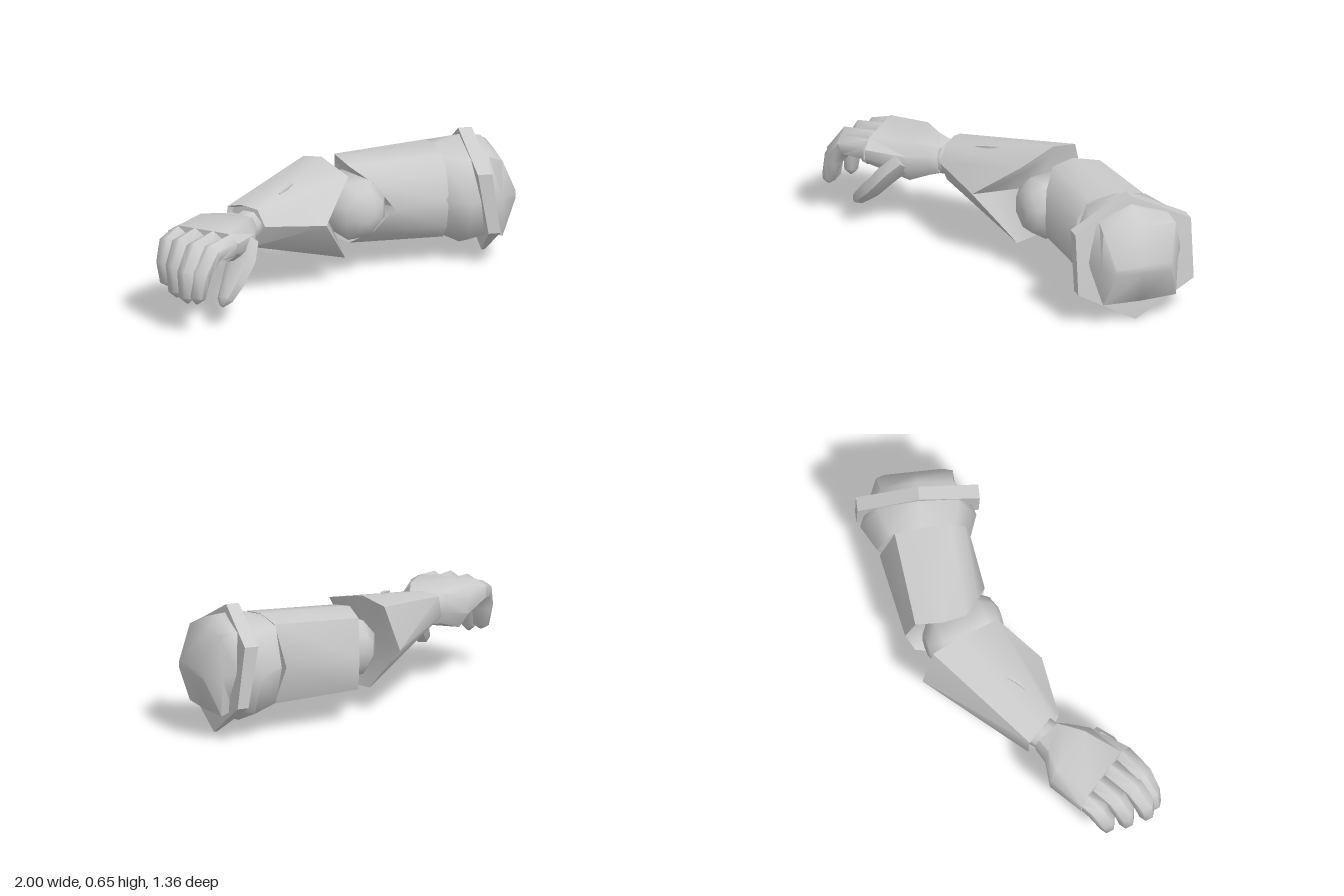
import * as THREE from 'three';
import { toCreasedNormals } from 'three/addons/utils/BufferGeometryUtils.js';

const material = new THREE.MeshStandardMaterial({ color: 0xcccccc });
const vec = (p) => new THREE.Vector3(...p);

// Skins a row of equal-length rings and closes both ends; faces are turned outward.
function loft(name, rings, crease = 0.6) {
  const n = rings[0].length;
  const tris = [];
  for (let r = 0; r < rings.length - 1; r++) {
    for (let i = 0; i < n; i++) {
      const j = (i + 1) % n;
      const a = rings[r][i], b = rings[r][j], c = rings[r + 1][j], d = rings[r + 1][i];
      tris.push([a, b, c], [a, c, d]);
    }
  }
  const first = rings[0], last = rings[rings.length - 1];
  const c0 = middle(first), c1 = middle(last);
  for (let i = 0; i < n; i++) {
    const j = (i + 1) % n;
    tris.push([c0, first[j], first[i]], [c1, last[i], last[j]]);
  }
  let volume = 0;
  for (const [a, b, c] of tris) volume += vec(a).sub(vec(c0)).dot(vec(b).sub(vec(c0)).cross(vec(c).sub(vec(c0))));
  const flat = tris.flatMap(([a, b, c]) => (volume < 0 ? [a, c, b] : [a, b, c])).flat();
  const geometry = new THREE.BufferGeometry();
  geometry.setAttribute('position', new THREE.Float32BufferAttribute(flat, 3));
  const mesh = new THREE.Mesh(toCreasedNormals(geometry, crease), material);
  mesh.name = name;
  return mesh;
}

function middle(ring) {
  return [0, 1, 2].map((k) => ring.reduce((s, p) => s + p[k], 0) / ring.length);
}

// Shrinks a ring toward its centre and shifts it.
function inset(ring, s, shift) {
  const m = middle(ring);
  return ring.map((p) => p.map((v, k) => m[k] + (v - m[k]) * s + shift[k]));
}

// Faceted limb along a path; sizes are [half width, half height] per point.
function limb(name, path, sizes, side, sides = 6, crease = 0.6) {
  const pts = path.map(vec);
  const rings = pts.map((p, i) => {
    const t = pts[Math.min(i + 1, pts.length - 1)].clone().sub(pts[Math.max(i - 1, 0)]).normalize();
    const w = vec(side).addScaledVector(t, -vec(side).dot(t)).normalize();
    const h = w.clone().cross(t);
    return Array.from({ length: sides }, (_, k) => {
      const a = ((k + 0.5) / sides) * Math.PI * 2;
      return p.clone().addScaledVector(w, Math.cos(a) * sizes[i][0]).addScaledVector(h, Math.sin(a) * sizes[i][1]).toArray();
    });
  });
  return loft(name, rings, crease);
}

// Octagon at a given x; cornerZ and cornerY place the diagonal corners.
function section(x, yLow, yHigh, zBack, zFront, cornerZ, cornerY) {
  const cy = (yLow + yHigh) / 2, cz = (zBack + zFront) / 2;
  const hy = (yHigh - yLow) / 2, hz = (zFront - zBack) / 2;
  return [[0, 1], [cornerZ, cornerY], [1, 0], [cornerZ, -cornerY], [0, -1], [-cornerZ, -cornerY], [-1, 0], [-cornerZ, cornerY]]
    .map(([z, y]) => [x, cy + y * hy, cz + z * hz]);
}

export function createModel() {
  const group = new THREE.Group();
  group.name = 'armouredArm';

  // Shoulder: bulging barrel closed by a smooth wedge-like cap
  group.add(loft('shoulder', [
    section(0.6, 0.13, 0.58, -0.6, -0.13, 0.68, 0.88),
    section(0.74, 0.05, 0.62, -0.67, -0.08, 0.7, 0.73),
    section(0.85, 0.09, 0.61, -0.62, -0.12, 0.74, 0.78),
    section(0.92, 0.122, 0.532, -0.58, -0.17, 0.95, 0.97),
    section(0.998, 0.31, 0.35, -0.52, -0.22, 0.98, 0.98),
  ], 1.15));

  // Shoulder cuff: tilted hexagonal plate; corners are [y, z, inner x, outer x]
  const cuff = [
    [0.655, -0.37, 0.735, 0.805], [0.5, -0.06, 0.765, 0.84], [0.185, -0.06, 0.82, 0.88],
    [0.0, -0.37, 0.855, 0.872], [0.185, -0.68, 0.82, 0.88], [0.5, -0.68, 0.765, 0.84],
  ];
  group.add(loft('shoulderCuff', [cuff.map(([y, z, x]) => [x, y, z]), cuff.map(([y, z, , x]) => [x, y, z])], 0.4));

  // Upper arm: shell cut back on the inner side of the elbow
  const upperEnd = [
    [0.1, 0.565, -0.32], [0.13, 0.55, -0.2], [0.24, 0.475, -0.125], [0.34, 0.345, -0.083], [0.24, 0.22, -0.125],
    [0.13, 0.145, -0.2], [0.1, 0.135, -0.32], [0.115, 0.165, -0.46], [0.13, 0.345, -0.51], [0.115, 0.535, -0.46],
  ];
  const upperTop = [
    [0.61, 0.585, -0.36], [0.62, 0.57, -0.22], [0.625, 0.49, -0.15], [0.63, 0.35, -0.125], [0.625, 0.21, -0.15],
    [0.62, 0.135, -0.22], [0.62, 0.125, -0.36], [0.6, 0.15, -0.51], [0.57, 0.35, -0.59], [0.6, 0.56, -0.51],
  ];
  group.add(loft('upperArm', [inset(upperEnd, 0.8, [0.04, 0, 0]), upperEnd, upperTop], 0.85));

  // Elbow: domed octagonal drum on a nearly front-to-back axis
  group.add(limb('elbow',
    [[0.06, 0.345, -0.41], [0.08, 0.345, -0.34], [0.16, 0.345, -0.11], [0.175, 0.345, -0.045], [0.18, 0.345, -0.02]],
    [[0.06, 0.08], [0.145, 0.15], [0.165, 0.16], [0.11, 0.11], [0.05, 0.05]], [1, 0, -0.3], 8, 1.2));

  // Forearm: seven-sided flare with a notched elbow opening
  const wristEnd = [
    [-0.43, 0.48, 0.17], [-0.5, 0.49, 0.1], [-0.555, 0.47, 0.045], [-0.565, 0.37, 0.035],
    [-0.51, 0.285, 0.095], [-0.45, 0.28, 0.155], [-0.4, 0.4, 0.21],
  ];
  const elbowEnd = [
    [0.09, 0.55, -0.045], [0.0, 0.595, -0.25], [-0.06, 0.56, -0.39], [-0.12, 0.34, -0.45],
    [-0.045, 0.11, -0.24], [0.07, 0.125, -0.03], [-0.07, 0.365, 0.16],
  ];
  group.add(loft('forearm', [
    inset(wristEnd, 0.85, [0.02, 0, -0.02]), wristEnd, elbowEnd, inset(elbowEnd, 0.78, [0, 0, 0]),
  ], 0.9));

  // Small fin on top of the forearm
  group.add(limb('forearmFin', [[-0.29, 0.52, 0.06], [-0.24, 0.53, 0.01], [-0.21, 0.535, -0.03]],
    [[0.004, 0.004], [0.012, 0.01], [0.015, 0.008]], [0.7, 0, 0.7], 4));

  // Wrist
  const across = [0.74, 0, 0.67];
  group.add(limb('wrist', [[-0.45, 0.38, 0.09], [-0.53, 0.375, 0.18]],
    [[0.085, 0.08], [0.08, 0.08]], across, 8, 0.85));

  // Palm: sections across the hand, [x, z] edge to edge and a height range
  const palm = [
    [[-0.555, 0.075], [-0.445, 0.21], 0.315, 0.45],
    [[-0.63, 0.115], [-0.455, 0.25], 0.305, 0.465],
    [[-0.755, 0.125], [-0.49, 0.36], 0.27, 0.48],
    [[-0.915, 0.265], [-0.615, 0.535], 0.33, 0.475],
  ].map(([a, b, low, high]) => [[0, 0.35], [0.14, 0], [0.86, 0], [1, 0.35], [1, 0.7], [0.86, 1], [0.14, 1], [0, 0.75]]
    .map(([u, v]) => [a[0] + (b[0] - a[0]) * u, low + (high - low) * v, a[1] + (b[1] - a[1]) * u]));
  group.add(loft('palm', palm, 0.85));

  // Fingers: knuckle, two joints and a pointed tip, curling downward
  const fingers = [
    [[-0.865, 0.41, 0.295], [-0.925, 0.395, 0.35], [-0.95, 0.31, 0.385], [-0.945, 0.21, 0.395], [-0.94, 0.19, 0.395]],
    [[-0.795, 0.415, 0.365], [-0.885, 0.41, 0.445], [-0.925, 0.32, 0.485], [-0.925, 0.19, 0.495], [-0.92, 0.16, 0.495]],
    [[-0.72, 0.415, 0.435], [-0.835, 0.41, 0.54], [-0.89, 0.31, 0.59], [-0.895, 0.19, 0.6], [-0.89, 0.16, 0.6]],
    [[-0.65, 0.41, 0.5], [-0.765, 0.405, 0.585], [-0.83, 0.31, 0.625], [-0.85, 0.195, 0.64], [-0.855, 0.165, 0.64]],
  ];
  fingers.forEach((path, i) => group.add(limb(`finger${i + 1}`, path,
    [[0.058, 0.062], [0.058, 0.058], [0.054, 0.05], [0.042, 0.038], [0.008, 0.008]], across, 6, 1.1)));

  // Thumb: broad at the base, narrowing to a point
  group.add(limb('thumb',
    [[-0.545, 0.37, 0.35], [-0.575, 0.3, 0.425], [-0.63, 0.21, 0.485], [-0.685, 0.14, 0.54], [-0.705, 0.115, 0.555]],
    [[0.09, 0.055], [0.09, 0.055], [0.07, 0.05], [0.045, 0.036], [0.012, 0.012]], [0.35, 0, 1], 6, 1.1));

  return group;
}
